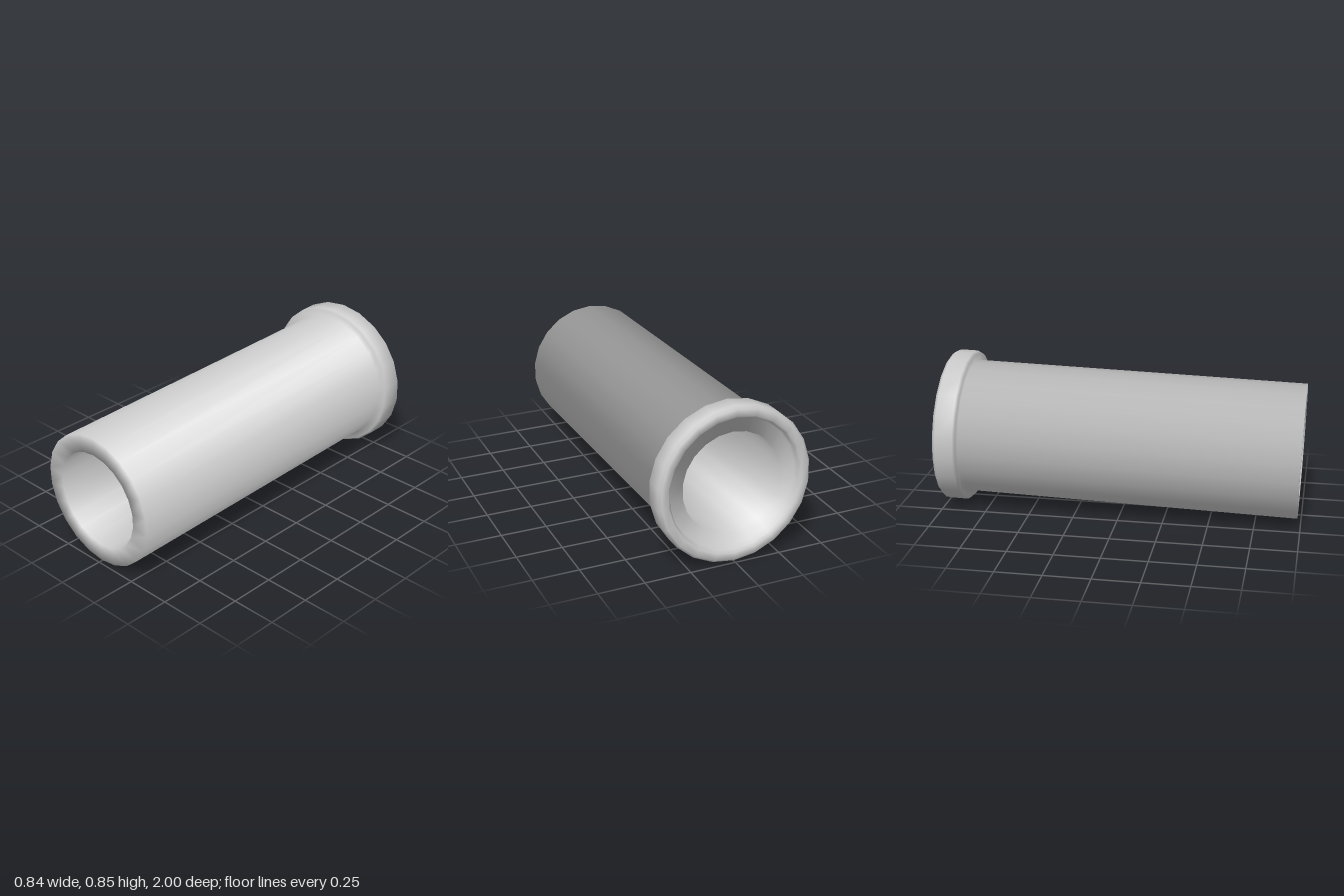
import * as THREE from 'three';

const SIDES = 22;

// Closed ring profile spun around y, with normals blended evenly across each profile corner
function ringGeometry(profile) {
  const pts = profile.map(([r, y]) => new THREE.Vector2(r, y));
  const n = pts.length;
  const edgeNormal = (a, b) => new THREE.Vector2(b.y - a.y, a.x - b.x).normalize();
  const corner = pts.map((p, i) =>
    edgeNormal(pts[(i + n - 1) % n], p).add(edgeNormal(p, pts[(i + 1) % n])).normalize());
  corner.push(corner[0]);

  const geo = new THREE.LatheGeometry([...pts, pts[0].clone()], SIDES);
  const normal = geo.attributes.normal;
  for (let i = 0; i <= SIDES; i++) {
    const phi = (i / SIDES) * Math.PI * 2;
    corner.forEach((c, j) =>
      normal.setXYZ(i * (n + 1) + j, c.x * Math.sin(phi), c.y, c.x * Math.cos(phi)));
  }
  return geo;
}

export function createModel() {
  const group = new THREE.Group();
  group.name = 'flangedSleeve';

  // Radius and distance along the axis: y = 0 is the flanged back end
  const length = 1.98;
  const profile = [
    [0.273, 0.05],    // back end of the bore
    [0.273, length],  // front end of the bore
    [0.372, length],  // front outer edge
    [0.372, 0.13],    // tube meets flange
    [0.412, 0.13],
    [0.424, 0.115],   // flange front bevel
    [0.424, 0.018],
    [0.408, 0],       // flange back bevel
    [0.372, 0],
    [0.358, 0.014],   // inner lip of the flange
    [0.352, 0.05],    // recess floor
  ].reverse();

  // Lay the tube along z, with the front end dipping slightly
  const geo = ringGeometry(profile);
  geo.rotateX(Math.PI / 2 + THREE.MathUtils.degToRad(1.45));
  geo.computeBoundingBox();
  const { min, max } = geo.boundingBox;
  geo.translate(-(min.x + max.x) / 2, -min.y, -(min.z + max.z) / 2);

  const sleeve = new THREE.Mesh(geo, new THREE.MeshStandardMaterial({ color: 0xcccccc }));
  sleeve.name = 'sleeve';
  group.add(sleeve);
  return group;
}
